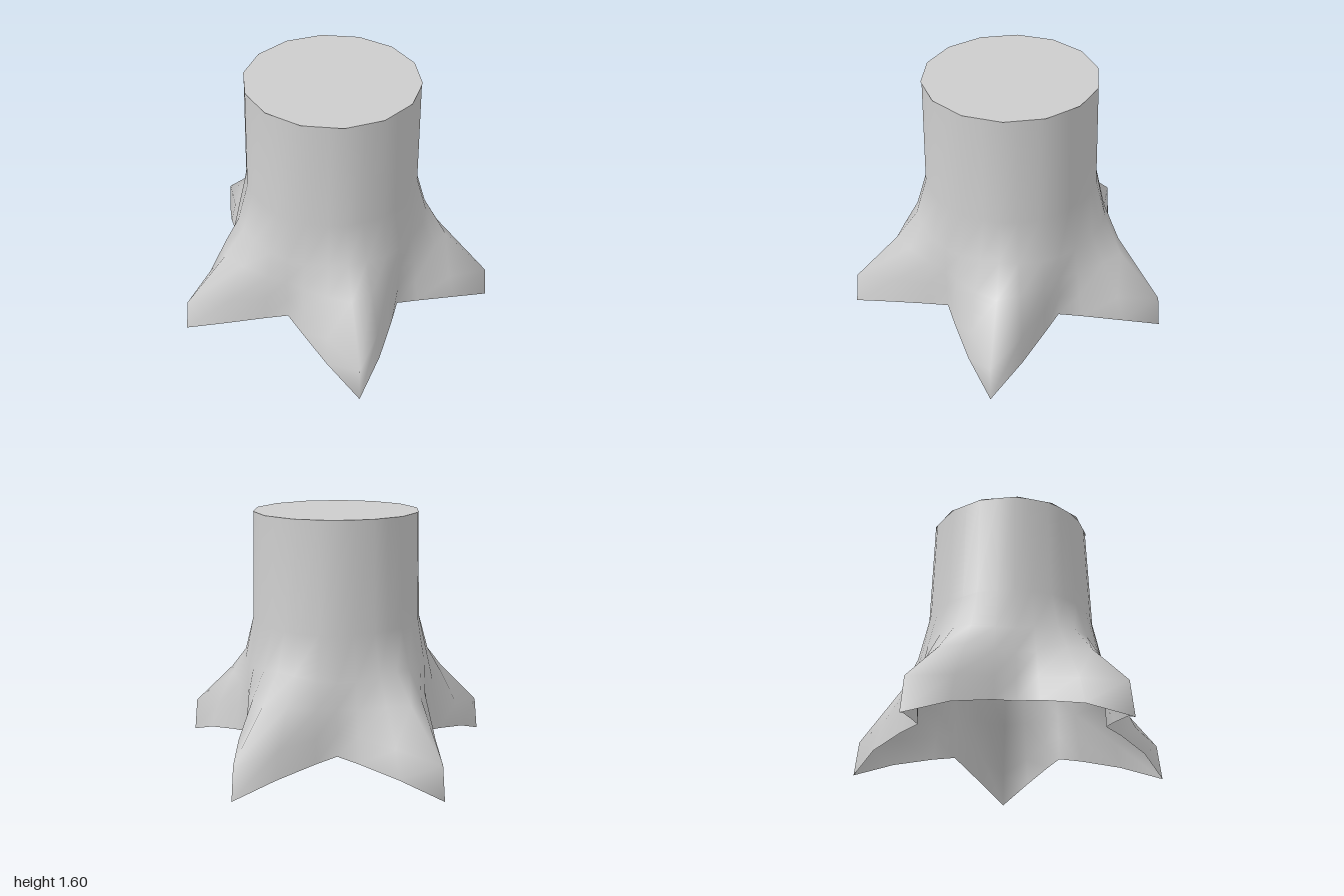
import * as THREE from 'three';

const CENTRE_Z = 0.1;
const TOP_Y = 1.6, TOP_R = 0.527;
const SIDES = 14; // facets of the sawn trunk
const rad = THREE.MathUtils.degToRad;

// Vertical profiles [radius, height], from the ridge of a root out to the valley between two roots
const PROFILES = {
  ridge: [[1.065, 0], [1.04, 0.22], [0.755, 0.5], [0.615, 0.68], [0.547, 0.92], [TOP_R, TOP_Y]],
  flank: [[0.865, 0.1], [0.82, 0.27], [0.705, 0.5], [0.61, 0.67], [0.547, 0.92], [TOP_R, TOP_Y]],
  foot: [[0.685, 0.155], [0.655, 0.31], [0.635, 0.48], [0.597, 0.65], [0.547, 0.92], [TOP_R, TOP_Y]],
  valley: [[0.602, 0.175], [0.602, 0.32], [0.602, 0.48], [0.59, 0.64], [0.547, 0.92], [TOP_R, TOP_Y]],
};

// Columns around one root: angle from its ridge and profile
const COLUMNS = [
  [-36, 'valley'], [-25, 'foot'], [-11, 'flank'], [0, 'ridge'], [11, 'flank'], [25, 'foot'],
];

// Small differences in reach, counted from the front left root round the back
const REACH = [1, 0.988, 1.005, 0.988, 1];

function trunkGeometry() {
  const columns = [];
  REACH.forEach((reach, k) => {
    for (const [offset, name] of COLUMNS) {
      const angle = rad(36 + 72 * k + offset);
      const profile = PROFILES[name].map(([r, y], row) =>
        [name === 'ridge' && row < 2 ? r * reach : r, y]);
      columns.push({ angle, profile });
    }
  });

  const n = columns.length, rows = PROFILES.ridge.length;
  const positions = [], indices = [];
  for (let row = 0; row < rows; row++) {
    columns.forEach(({ angle, profile }, j) => {
      const [r, y] = profile[row];
      positions.push(r * Math.sin(angle), y, r * Math.cos(angle));
      if (row === rows - 1) return;
      const a = row * n + j, b = row * n + (j + 1) % n;
      indices.push(a, b, b + n, a, b + n, a + n);
    });
  }
  const geometry = new THREE.BufferGeometry();
  geometry.setAttribute('position', new THREE.Float32BufferAttribute(positions, 3));
  geometry.setIndex(indices);
  geometry.computeVertexNormals();

  // Flatten the upper two rings to the facets while keeping round, smooth normals
  const pos = geometry.attributes.position;
  const step = (2 * Math.PI) / SIDES;
  for (let i = (rows - 2) * n; i < rows * n; i++) {
    const angle = columns[i % n].angle;
    const phi = angle - step * Math.round(angle / step);
    const f = Math.cos(step / 2) / Math.cos(phi);
    pos.setXYZ(i, pos.getX(i) * f, pos.getY(i), pos.getZ(i) * f);
  }
  return geometry;
}

export function createModel() {
  const group = new THREE.Group();
  group.name = 'treeStump';

  const grey = new THREE.MeshStandardMaterial({ color: 0xcccccc, side: THREE.DoubleSide });
  grey.name = 'plain grey';

  // Trunk flaring into five roots, open underneath
  const trunk = new THREE.Mesh(trunkGeometry(), grey);
  trunk.name = 'trunkAndRoots';
  trunk.position.z = CENTRE_Z;
  group.add(trunk);

  // Flat sawn top
  const cut = new THREE.Mesh(new THREE.CircleGeometry(TOP_R, SIDES).rotateX(-Math.PI / 2), grey);
  cut.name = 'sawnTop';
  cut.position.set(0, TOP_Y, CENTRE_Z);
  group.add(cut);

  return group;
}
